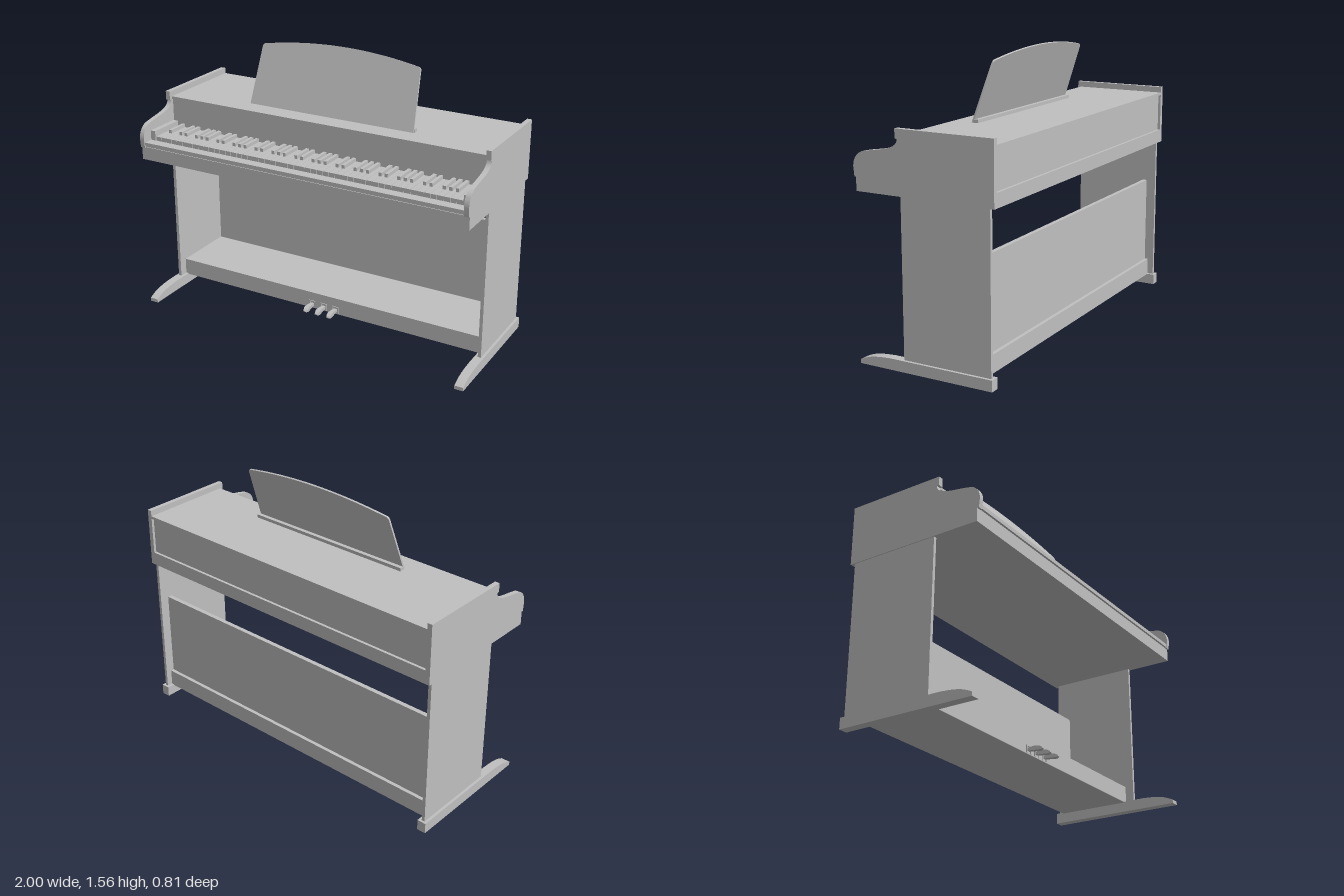
import * as THREE from 'three';
import { toCreasedNormals } from 'three/addons/utils/BufferGeometryUtils.js';

export function createModel() {
  const model = new THREE.Group();
  model.name = 'digitalPiano';
  const grey = new THREE.MeshStandardMaterial({ color: 0xc0c0c0 });
  grey.name = 'plainGrey';

  function add(name, geometry, parent = model) {
    const mesh = new THREE.Mesh(geometry, grey);
    mesh.name = name;
    parent.add(mesh);
    return mesh;
  }
  // Box given by its limits on each axis
  function box(name, x0, x1, y0, y1, z0, z1, parent) {
    const g = new THREE.BoxGeometry(x1 - x0, y1 - y0, z1 - z0);
    g.translate((x0 + x1) / 2, (y0 + y1) / 2, (z0 + z1) / 2);
    return add(name, g, parent);
  }
  // Side profile drawn as (z, y), extruded from x0 to x1
  function profile(name, shape, x0, x1, parent) {
    const g = new THREE.ExtrudeGeometry(shape, { depth: x1 - x0, bevelEnabled: false, curveSegments: 14 });
    g.rotateY(-Math.PI / 2);
    g.translate(x1, 0, 0);
    return add(name, toCreasedNormals(g, 0.6), parent);
  }
  function group(name) {
    const g = new THREE.Group();
    g.name = name;
    model.add(g);
    return g;
  }

  // Cheek: high at the back, S-curve down to a rounded nose
  const cheek = new THREE.Shape();
  cheek.moveTo(-0.4, 0.97);
  cheek.lineTo(0.4, 0.97);
  cheek.lineTo(0.405, 1.02);
  cheek.bezierCurveTo(0.405, 1.06, 0.38, 1.098, 0.335, 1.103);
  cheek.bezierCurveTo(0.27, 1.12, 0.14, 1.12, 0.14, 1.18);
  cheek.lineTo(0.153, 1.18);
  cheek.lineTo(0.153, 1.23);
  cheek.lineTo(-0.4, 1.23);
  cheek.closePath();

  // Foot: long bar with a tapering toe
  const foot = new THREE.Shape();
  foot.moveTo(-0.388, 0);
  foot.lineTo(0.39, 0);
  foot.lineTo(0.39, 0.02);
  foot.bezierCurveTo(0.34, 0.045, 0.31, 0.055, 0.2, 0.06);
  foot.lineTo(-0.388, 0.06);
  foot.closePath();

  for (const s of [-1, 1]) {
    const side = s < 0 ? 'right' : 'left';
    const span = (a, b) => (s > 0 ? [a, b] : [-b, -a]);
    profile(side + 'Cheek', cheek, ...span(0.963, 0.99));
    profile(side + 'Foot', foot, ...span(0.95, 1));
    box(side + 'LegPanel', ...span(0.967, 0.985), 0.06, 0.9, -0.375, 0.13);
    box(side + 'KeyBlock', ...span(0.933, 0.963), 0.97, 1.055, 0.13, 0.34);
  }

  // Case
  box('keyBed', -0.99, 0.99, 0.897, 0.972, -0.4, 0.39);
  box('caseBody', -0.963, 0.963, 0.97, 1.18, -0.385, 0.125);
  box('lid', -0.963, 0.963, 1.182, 1.197, -0.4, 0.133);
  box('keySlip', -0.963, 0.963, 0.978, 1.0, 0.338, 0.396);
  box('keySlipBase', -0.963, 0.963, 0.97, 0.98, 0.338, 0.385);

  // Lower back board and pedal box
  box('backBoard', -0.967, 0.967, 0.15, 0.652, -0.32, -0.295);
  box('pedalBox', -0.967, 0.967, 0.055, 0.152, -0.34, 0.08);

  // Keyboard: 52 naturals starting on A, with sharps between them
  const keys = group('keyboard');
  const left = -0.932, pitch = 1.864 / 52;
  const hasSharp = [true, false, true, true, false, true, true]; // A B C D E F G
  for (let i = 0; i < 52; i++) {
    const x = left + i * pitch;
    box('naturalKey', x + 0.001, x + pitch - 0.001, 0.99, 1.023, 0.125, 0.335, keys);
    if (hasSharp[i % 7] && i < 51) {
      box('sharpKey', x + pitch - 0.009, x + pitch + 0.009, 1.02, 1.042, 0.125, 0.25, keys);
    }
  }

  // Music rest: arched board leaning back, with a ledge behind its foot
  const rest = new THREE.Shape();
  rest.moveTo(-0.503, 0);
  rest.lineTo(0.503, 0);
  rest.lineTo(0.483, 0.325);
  rest.quadraticCurveTo(0.481, 0.338, 0.468, 0.341);
  rest.quadraticCurveTo(0, 0.427, -0.468, 0.341);
  rest.quadraticCurveTo(-0.481, 0.338, -0.483, 0.325);
  rest.closePath();
  const board = new THREE.ExtrudeGeometry(rest, { depth: 0.01, bevelEnabled: false, curveSegments: 20 });
  const restMesh = add('musicRest', toCreasedNormals(board, 0.6));
  restMesh.rotation.x = -0.338;
  restMesh.position.set(0, 1.195, 0.012);
  box('musicRestLedge', -0.505, 0.505, 1.195, 1.215, -0.018, 0.008);

  // Pedals: side-profiled tongue with a framed socket
  const pedal = new THREE.Shape();
  pedal.moveTo(0.07, 0.072);
  pedal.lineTo(0.15, 0.064);
  pedal.quadraticCurveTo(0.172, 0.064, 0.17, 0.074);
  pedal.quadraticCurveTo(0.155, 0.088, 0.125, 0.09);
  pedal.lineTo(0.07, 0.086);
  pedal.closePath();
  const pedals = group('pedals');
  for (const x of [-0.075, 0, 0.075]) {
    const mesh = profile('pedal', pedal, -0.014, 0.014, pedals);
    // Narrow the tongue towards the box and round off its tip
    const p = mesh.geometry.attributes.position;
    for (let i = 0; i < p.count; i++) {
      const z = p.getZ(i);
      const w = z > 0.15 ? 1 - (z - 0.15) * 22 : 0.65 + 0.35 * (z - 0.07) / 0.08;
      p.setX(i, p.getX(i) * w);
    }
    mesh.position.x = x;
    for (const s of [-1, 1]) {
      box('socketSide', x + s * 0.018 - 0.003, x + s * 0.018 + 0.003, 0.06, 0.1, 0.079, 0.085, pedals);
    }
    box('socketTop', x - 0.021, x + 0.021, 0.095, 0.101, 0.079, 0.085, pedals);
  }

  return model;
}
